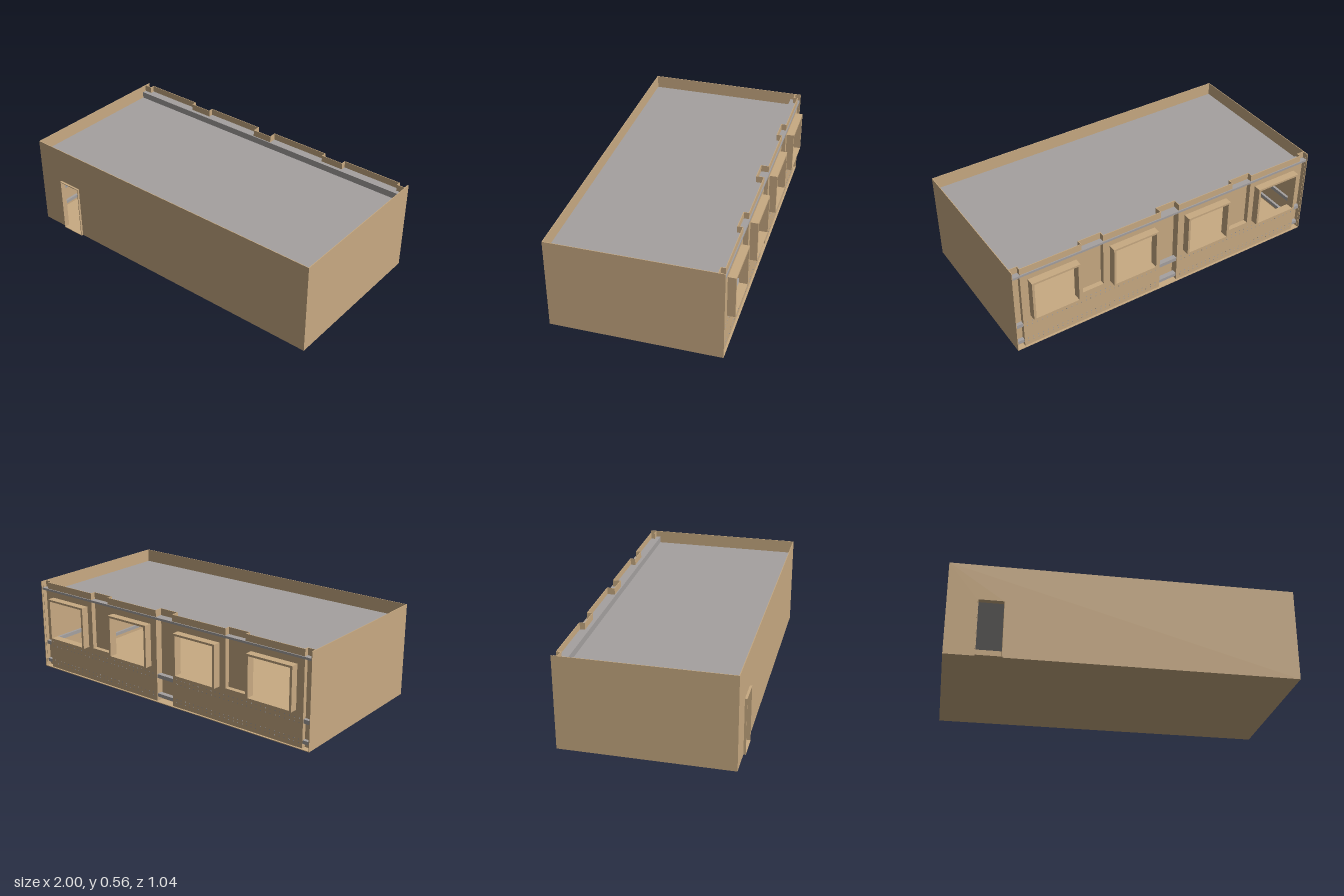
import * as THREE from 'three';
import { mergeGeometries } from 'three/addons/utils/BufferGeometryUtils.js';

const T = 0.004; // sheet thickness of walls
const H = 0.56, FRONT = 0.507, BACK = -0.485, PANEL = -0.474;

export function createModel() {
  const root = new THREE.Group();
  const tan = new THREE.MeshStandardMaterial({ color: 0xc8aa82, side: THREE.DoubleSide });
  tan.name = 'sandWall';
  const grey = new THREE.MeshStandardMaterial({ color: 0xa5a1a0, side: THREE.DoubleSide });
  grey.name = 'greyRoof';

  const add = (name, geo, mat, parent = root) => {
    const m = new THREE.Mesh(geo, mat);
    m.name = name;
    parent.add(m);
    return m;
  };
  // box given by its limits
  const boxGeo = (x0, x1, y0, y1, z0, z1) =>
    new THREE.BoxGeometry(x1 - x0, y1 - y0, z1 - z0)
      .translate((x0 + x1) / 2, (y0 + y1) / 2, (z0 + z1) / 2);
  const rectHole = (x0, x1, y0, y1) => new THREE.Path([
    new THREE.Vector2(x0, y0), new THREE.Vector2(x1, y0),
    new THREE.Vector2(x1, y1), new THREE.Vector2(x0, y1)]);
  const outline = pts => new THREE.Shape(pts.map(p => new THREE.Vector2(p[0], p[1])));

  // floor and side walls
  add('floor', boxGeo(-1, 1, 0, T, BACK, FRONT), tan);
  for (const s of [-1, 1]) {
    const a = s, b = s * (1 - T);
    add('sideWall', boxGeo(Math.min(a, b), Math.max(a, b), 0, H, BACK, FRONT), tan);
  }

  // front wall cut around the doorway
  const DX0 = -0.83, DX1 = -0.68, DY = 0.34;
  const front = outline([[-1, 0], [DX0, 0], [DX0, DY], [DX1, DY], [DX1, 0], [1, 0], [1, H], [-1, H]]);
  add('frontWall', new THREE.ExtrudeGeometry(front, { depth: T, bevelEnabled: false })
    .translate(0, 0, FRONT - T), tan);

  // door frame
  const door = new THREE.Group();
  door.name = 'doorFrame';
  root.add(door);
  add('doorJamb', boxGeo(DX0, DX0 + T, 0, DY, FRONT - 0.02, 0.52), tan, door);
  add('doorJamb', boxGeo(DX1 - T, DX1, 0, DY, FRONT - 0.02, 0.52), tan, door);
  add('doorHead', boxGeo(DX0, DX1, DY - T, DY, FRONT - 0.02, 0.52), tan, door);
  add('doorSill', boxGeo(DX0, DX1, 0, T, FRONT - 0.02, 0.52), tan, door);

  // sunken roof with a raised strip along the back
  add('roof', boxGeo(-1 + T, 1 - T, 0.476, 0.48, -0.42, FRONT - T), grey);
  add('roofStep', boxGeo(-1 + T, 1 - T, 0.476, 0.52, -0.422, -0.418), grey);
  add('roofStrip', boxGeo(-1 + T, 1 - T, 0.507, 0.52, BACK + 0.005, -0.42), grey);

  // back facade: two mirrored panels, each with two windows and a slot between
  const windows = [[0.103, 0.398], [0.61, 0.905]];
  const WY0 = 0.213, WY1 = 0.47, SLOT0 = 0.44, SLOT1 = 0.575;
  const mirror = (s, x0, x1) => (s > 0 ? [x0, x1] : [-x1, -x0]);

  // three-sided recess with a ledge below
  const pocket = (x0, x1, y0, zBack) => {
    const g = new THREE.Group();
    g.name = 'wallRecess';
    root.add(g);
    add('recessBack', boxGeo(x0, x1, y0, H, zBack - T, zBack), tan, g);
    add('recessSide', boxGeo(x0 - T, x0, y0, H, PANEL, zBack), tan, g);
    add('recessSide', boxGeo(x1, x1 + T, y0, H, PANEL, zBack), tan, g);
    if (y0 > 0) add('recessLedge', boxGeo(x0, x1, y0 - T, y0, PANEL, zBack), tan, g);
  };

  for (const s of [1, -1]) {
    const panel = outline([[0.06, 0], [0.95, 0], [0.95, H], [SLOT1, H], [SLOT1, WY0],
      [SLOT0, WY0], [SLOT0, H], [0.06, H]].map(([x, y]) => [s * x, y]));
    for (const [a, b] of windows) {
      panel.holes.push(rectHole(...mirror(s, a + 0.004, b - 0.004), WY0 + 0.003, WY1 - 0.004));
    }
    add('backPanel', new THREE.ExtrudeGeometry(panel, { depth: T, bevelEnabled: false })
      .translate(0, 0, PANEL), tan);

    // projecting window frames
    for (const [a, b] of windows) {
      const [x0, x1] = mirror(s, a, b);
      const frame = outline([[x0, WY0], [x1, WY0], [x1, WY1], [x0, WY1]]);
      frame.holes.push(rectHole(x0 + 0.014, x1 - 0.014, WY0 + 0.006, WY1 - 0.012));
      add('windowFrame', new THREE.ExtrudeGeometry(frame, { depth: 0.05, bevelEnabled: false })
        .translate(0, 0, -0.52), tan);
    }
    pocket(...mirror(s, SLOT0, SLOT1), WY0, -0.44);
    pocket(...mirror(s, 0.95, 1 - T * 1.5), 0, -0.445);
  }
  pocket(-0.06, 0.06, 0, -0.425);

  // pairs of low grey rails around the inside, showing in the recesses
  for (const [y0, y1] of [[0.03, 0.05], [0.147, 0.17]]) {
    add('backRail', boxGeo(-0.99, 0.99, y0, y1, PANEL + T, -0.44), grey);
    for (const s of [-1, 1]) {
      add('sideRail', boxGeo(...mirror(s, 0.98, 1 - T), y0, y1, -0.46, FRONT - T), grey);
    }
  }

  // rows of small fixings on the back
  const dots = [];
  for (const y of [0.032, 0.052, 0.147, 0.172]) {
    for (let i = 0; i < 28; i++) {
      const x = 0.09 + i * 0.031;
      for (const s of [-1, 1]) {
        dots.push(boxGeo(s * x - 0.003, s * x + 0.003, y - 0.003, y + 0.003, PANEL - 0.001, PANEL));
      }
    }
  }
  add('fixings', mergeGeometries(dots), grey);

  return root;
}
